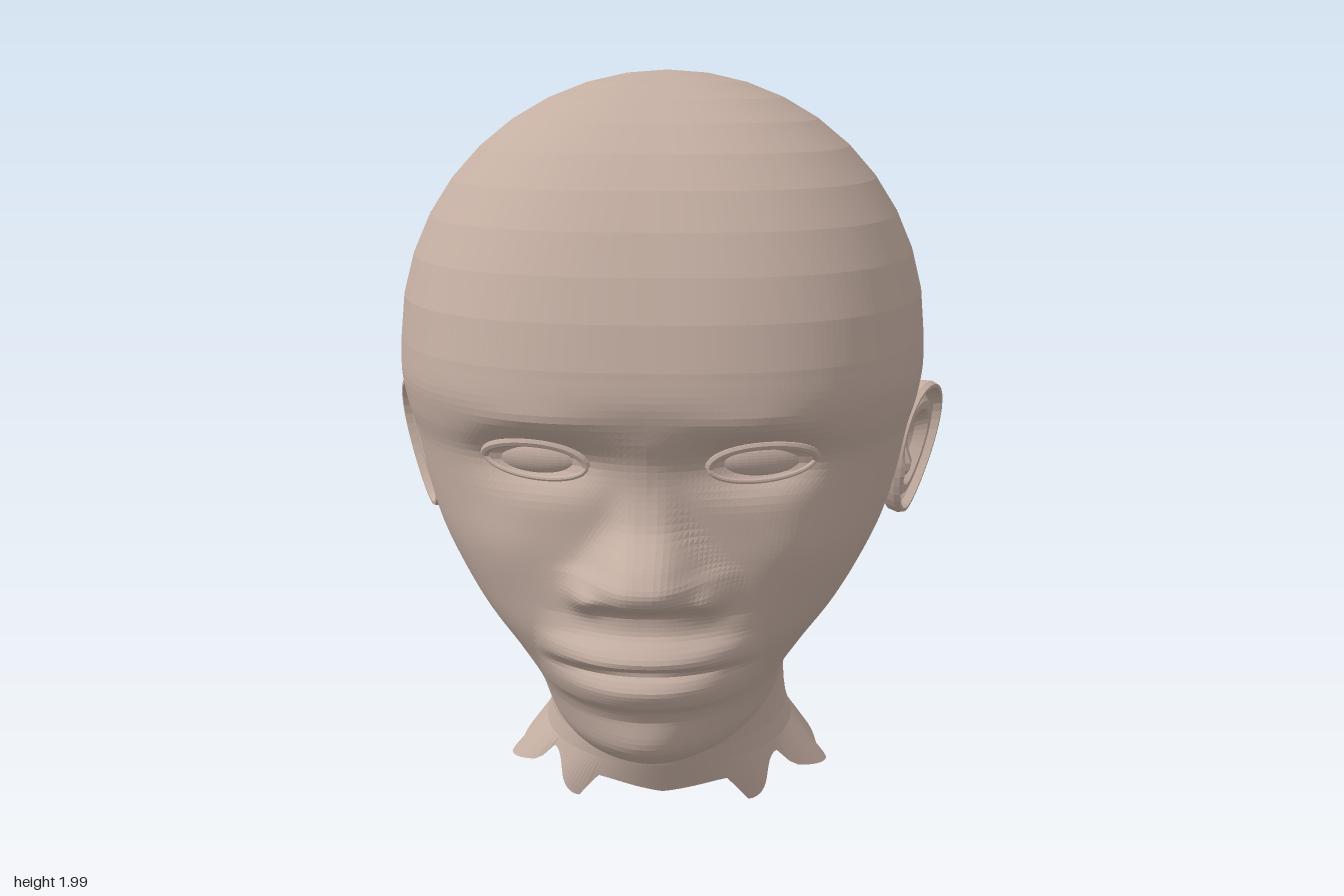
import * as THREE from 'three';

const skin = new THREE.MeshStandardMaterial({ color: 0xc4aea2, flatShading: true, side: THREE.DoubleSide });
skin.name = 'skin';

const DOME = 1.35; // height where the skull starts to close as an ellipsoid

// Horizontal sections below the dome: y, half width, front z, back z
const SECTIONS = [
  [1.35, 0.68, 0.815, -0.94], [1.28, 0.682, 0.825, -0.935], [1.2, 0.672, 0.81, -0.92],
  [1.12, 0.65, 0.785, -0.9], [1.0, 0.625, 0.775, -0.84], [0.9, 0.595, 0.78, -0.73],
  [0.8, 0.55, 0.79, -0.65], [0.7, 0.495, 0.8, -0.59], [0.6, 0.425, 0.79, -0.557],
  [0.5, 0.365, 0.785, -0.555], [0.45, 0.35, 0.775, -0.555], [0.4, 0.342, 0.735, -0.555],
  [0.365, 0.34, 0.66, -0.56], [0.345, 0.338, 0.55, -0.56], [0.335, 0.337, 0.36, -0.565],
  [0.3, 0.335, 0.28, -0.57], [0.2, 0.345, 0.225, -0.6], [0.12, 0.375, 0.2, -0.63], [0, 0.49, 0.15, -0.67],
];
// Nose: y, height, width
const NOSE = [
  [1.2, 0, 0.06], [1.1, 0.005, 0.06], [1.0, 0.04, 0.075], [0.91, 0.14, 0.11],
  [0.875, 0.16, 0.13], [0.85, 0.15, 0.13], [0.8, 0.05, 0.13], [0.72, 0, 0.1],
];
// Lips: y, height
const LIPS = [
  [0.79, 0], [0.75, 0.025], [0.715, 0.08], [0.695, 0.09], [0.655, 0.03],
  [0.64, 0.05], [0.615, 0.068], [0.58, 0.055], [0.55, 0.015], [0.52, 0],
];
// Ragged neck hem: degrees from the front, y
const NECK_EDGE = [
  [0, 0.06], [27, 0.09], [30, 0.01], [57, 0.12], [61, 0.06], [85, 0.02],
  [90, 0.05], [120, 0.06], [145, 0.02], [150, 0.09], [180, 0.065],
];

// Smooth lookup without overshoot in a table sorted on its first column
function lookup(table, v, col) {
  const last = table.length - 1;
  const slope = (i) => (table[i + 1][col] - table[i][col]) / (table[i + 1][0] - table[i][0]);
  const tangent = (i) => {
    if (i === 0 || i === last) return slope(Math.min(i, last - 1));
    const p = slope(i - 1), q = slope(i);
    return p * q > 0 ? (2 * p * q) / (p + q) : 0;
  };
  for (let i = 0; i < last; i++) {
    const a = table[i], b = table[i + 1];
    if ((v - a[0]) * (v - b[0]) > 0) continue;
    const h = b[0] - a[0], t = (v - a[0]) / h, s = 1 - t;
    return s * s * ((1 + 2 * t) * a[col] + t * h * tangent(i))
      + t * t * ((1 + 2 * s) * b[col] - s * h * tangent(i + 1));
  }
  return table[last][col];
}

const bump = (dx, dy) => Math.exp(-dx * dx - dy * dy);

// Half width, widest z, front z, back z and the roundness of both halves at height y
function section(y) {
  const smooth = THREE.MathUtils.smoothstep;
  const low = Math.min(y, DOME);
  const s = {
    w: lookup(SECTIONS, low, 1), f: lookup(SECTIONS, low, 2), b: lookup(SECTIONS, low, 3),
    zc: -0.2 + 0.1 * smooth(y, 0.33, 0.65),
    nf: 2 + 0.65 * smooth(y, 0.38, 0.95) - 0.2 * bump(0, (y - 0.35) / 0.04),
    nb: 2.2 - 0.17 * smooth(y, 0.6, 1.2),
  };
  if (y > DOME) {
    const t = Math.min(1, (y - DOME) / (2 - DOME));
    const k = Math.pow(1 - Math.pow(t, 2.15), 1 / 2.15);
    s.w *= Math.sqrt(1 - t * t);
    s.f = s.zc + (s.f - s.zc - 0.045 * Math.sin(Math.PI * t)) * k;         // sloping forehead
    s.b = s.zc + (s.b - s.zc) * k;
  }
  return s;
}

// Relief of the face added to the plain skull, along z
function relief(x, y) {
  const ax = Math.abs(x);
  let d = 0;
  if (y < 1.2 && y > 0.72) d += lookup(NOSE, y, 1) * Math.exp(-Math.pow(ax / lookup(NOSE, y, 2), 3));
  d += 0.045 * bump((ax - 0.14) / 0.04, (y - 0.832) / 0.036);           // nostril wings
  const ly = y + 0.2 * x * x;
  if (ax < 0.27 && ly < 0.79 && ly > 0.52) d += lookup(LIPS, ly, 1) * (1 - (ax / 0.27) ** 2);
  d -= 0.08 * bump((ax - 0.25) / 0.13, (y - 1.13) / 0.06);               // eye sockets
  d += 0.014 * bump((ax - 0.25) / 0.14, (y - 1.23) / 0.035);             // brows
  d += 0.015 * bump((ax - 0.34) / 0.1, (y - 0.92) / 0.1);                // cheeks
  d += 0.012 * bump(x / 0.12, (y - 0.45) / 0.05);                        // chin
  return d;
}

function faceZ(x, y) {
  const { w, zc, f, nf } = section(y);
  return zc + (f - zc) * Math.pow(1 - Math.pow(Math.abs(x) / w, nf), 1 / nf) + relief(x, y);
}

// Surface of rows by closed columns
function loft(rows, cols, point, flip) {
  const pos = [], index = [];
  for (let i = 0; i < rows; i++) for (let j = 0; j < cols; j++) pos.push(...point(i, j));
  for (let i = 0; i < rows - 1; i++) {
    for (let j = 0; j < cols; j++) {
      const k = (j + 1) % cols;
      const a = i * cols + j, b = a + cols, c = (i + 1) * cols + k, d = i * cols + k;
      if (flip) index.push(a, d, b, b, d, c);
      else index.push(a, b, d, b, c, d);
    }
  }
  const g = new THREE.BufferGeometry();
  g.setAttribute('position', new THREE.Float32BufferAttribute(pos, 3));
  g.setIndex(index);
  g.computeVertexNormals();
  return g;
}

function headGeometry() {
  const ys = [];
  for (let i = 10; i > 0; i--) ys.push(DOME + (2 - DOME) * Math.sin((i / 10) * Math.PI / 2));
  for (let y = DOME; y > 0.95; y -= 0.0165) ys.push(y);
  for (let y = 0.95; y > 0.5; y -= 0.01) ys.push(y);
  for (let y = 0.495; y > 0.35; y -= 0.0145) ys.push(y);
  ys.push(0.345, 0.335, 0.32, 0.3, 0.25, 0.2, 0.15, 0);
  const cols = 160;
  return loft(ys.length, cols, (i, j) => {
    const t = (j / cols) * Math.PI * 2;
    const a = t - 0.65 * Math.sin(t);                                    // closer columns on the face
    const deg = THREE.MathUtils.radToDeg(Math.min(a, Math.PI * 2 - a));
    const y = i === ys.length - 1 ? lookup(NECK_EDGE, deg, 1) : ys[i];
    const { w, zc, f, b, nf, nb } = section(y);
    const s = Math.sin(a), c = Math.cos(a), n = c > 0 ? nf : nb;
    const x = w * Math.sign(s) * Math.pow(Math.abs(s), 2 / n);
    let z = zc + ((c > 0 ? f : b) - zc) * Math.pow(Math.abs(c), 2 / n);
    if (c > 0) z += relief(x, y) * Math.min(1, c * 2.5);
    return [x, y, z];
  });
}

// Ear: rings (radius, height) from the hollow out over the rim and back behind to the head
function earGeometry(side) {
  const rings = [[0, -0.035], [0.3, -0.035], [0.45, -0.02], [0.58, 0.012], [0.7, 0.012], [0.8, -0.006],
    [0.87, 0.005], [0.92, 0.026], [0.97, 0.026], [1, 0.01], [0.98, -0.018], [0.85, -0.045], [0.6, -0.1]];
  const cols = 36;
  const back = new THREE.Vector3(0.46, 0, -0.89), up = new THREE.Vector3(0.16, 0.98, -0.06);
  const out = new THREE.Vector3(0.88, -0.12, 0.46);
  return loft(rings.length, cols, (i, j) => {
    const a = (j / cols) * Math.PI * 2, [r, h] = rings[i];
    const u = r * (Math.cos(a) * 0.125 * (1 + 0.28 * Math.sin(a)) + 0.015 * Math.sin(a));
    const v = r * Math.sin(a) * 0.185;
    const tragus = i < 8 ? 0.03 * bump((u + 0.08) / 0.03, (v + 0.03) / 0.04) : 0;
    const p = new THREE.Vector3(0.677, 0.978, -0.12)
      .addScaledVector(back, u).addScaledVector(up, v).addScaledVector(out, h + tragus);
    return [p.x * side, p.y, p.z];
  }, side < 0);
}

// Eyelid: a thin roll along an arc resting on the face
function lidGeometry(side, height, radius) {
  const pts = [];
  for (let i = 0; i <= 12; i++) {
    const a = (i / 12) * Math.PI;
    const x = 0.26 - 0.122 * Math.cos(a), y = 1.128 + height * Math.sin(a) + 0.05 * (x - 0.26);
    pts.push(new THREE.Vector3(x * side, y, faceZ(x, y) + 0.008 * Math.sin(a)));
  }
  return new THREE.TubeGeometry(new THREE.CatmullRomCurve3(pts), 28, radius, 8);
}

export function createModel() {
  const group = new THREE.Group();
  group.name = 'humanHead';
  const add = (name, geometry) => {
    const mesh = new THREE.Mesh(geometry, skin);
    mesh.name = name;
    group.add(mesh);
    return mesh;
  };
  add('headAndNeck', headGeometry());
  for (const [side, label] of [[1, 'left'], [-1, 'right']]) {
    add(label + 'Ear', earGeometry(side));
    const eye = add(label + 'Eye', new THREE.SphereGeometry(1, 32, 20));
    eye.scale.set(0.12, 0.045, 0.035);
    eye.position.set(0.26 * side, 1.13, faceZ(0.26, 1.13) - 0.004);
    eye.rotation.y = 0.3 * side;
    add(label + 'UpperLid', lidGeometry(side, 0.046, 0.011));
    add(label + 'LowerLid', lidGeometry(side, -0.042, 0.006));
  }
  return group;
}
